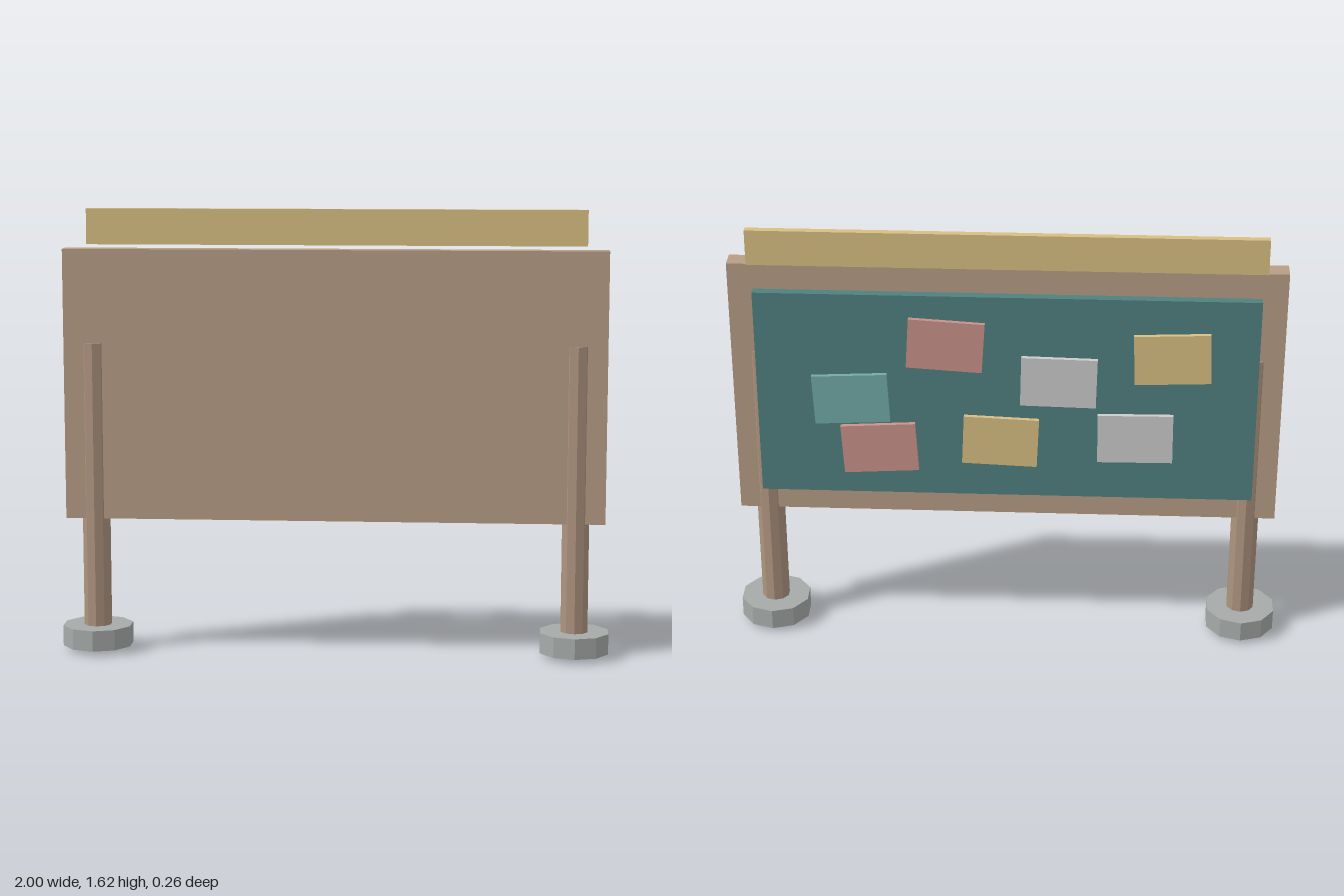
import * as THREE from 'three';

const material = (color) => new THREE.MeshStandardMaterial({ color, flatShading: true });
const WOOD = material(0xb89d85);
const POST = material(0xae947f);
const STONE = material(0xa6aba9);
const FELT = material(0x4f807f);
const YELLOW = material(0xd8be82);
const RED = material(0xcb928a);
const TEAL = material(0x72aaa6);
const PAPER = material(0xcccccc);

export function createModel() {
  const group = new THREE.Group();

  const add = (name, geometry, mat, x, y, z) => {
    const mesh = new THREE.Mesh(geometry, mat);
    mesh.name = name;
    mesh.position.set(x, y, z);
    group.add(mesh);
    return mesh;
  };

  // Main panel, pin surface on the back and trim strip above
  add('panel', new THREE.BoxGeometry(1.964, 0.985, 0.074), WOOD, 0, 0.988, 0);
  add('pinSurface', new THREE.BoxGeometry(1.785, 0.795, 0.035), FELT, 0, 0.988, -0.053);
  add('headerStrip', new THREE.BoxGeometry(1.814, 0.13, 0.026), YELLOW, 0, 1.557, -0.057);

  // Ten-sided posts with wide feet
  for (const [side, x] of [['left', 0.876], ['right', -0.876]]) {
    add(side + 'Post', new THREE.CylinderGeometry(0.051, 0.051, 1.14, 10), POST, x, 0.57, 0);
    add(side + 'Foot', new THREE.CylinderGeometry(0.13, 0.13, 0.076, 10), STONE, x, 0.055, 0);
  }

  // Pinned notes: x, y, tilt, material
  const notes = [
    [0.555, 0.98, -0.05, TEAL],
    [0.215, 1.2, 0.06, RED],
    [-0.187, 1.063, 0.02, PAPER],
    [-0.587, 1.163, -0.04, YELLOW],
    [0.456, 0.782, -0.06, RED],
    [0.02, 0.82, 0.04, YELLOW],
    [-0.463, 0.842, -0.01, PAPER],
  ];
  const noteShape = new THREE.BoxGeometry(0.27, 0.19, 0.016);
  notes.forEach(([x, y, tilt, mat], i) => {
    add('note' + (i + 1), noteShape, mat, x, y, -0.081).rotation.z = tilt;
  });

  return group;
}
